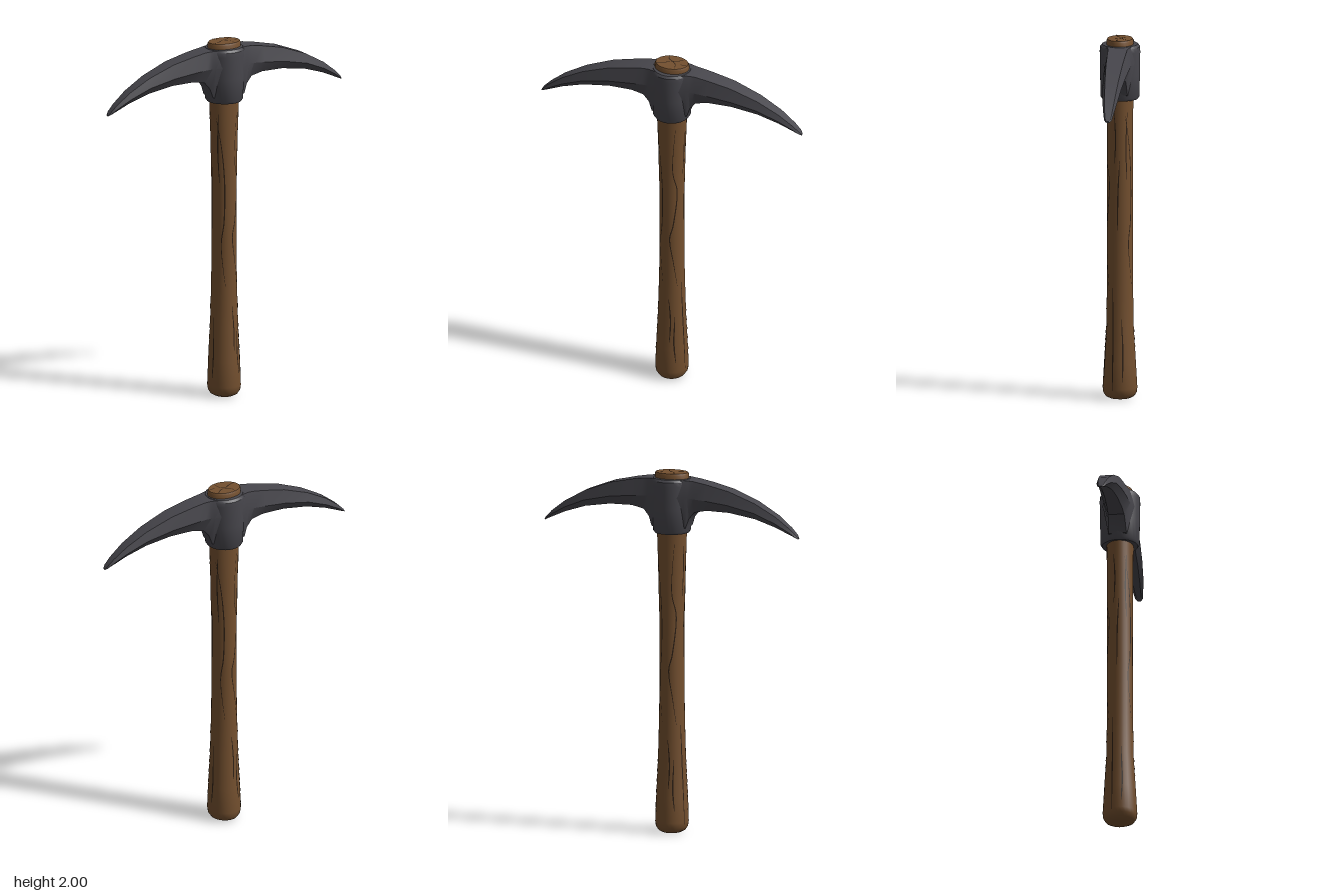
import * as THREE from 'three';
import { toCreasedNormals } from 'three/addons/utils/BufferGeometryUtils.js';

const material = (name, color, side = THREE.FrontSide) => {
  const m = new THREE.MeshStandardMaterial({ color, side });
  m.name = name;
  return m;
};

// Skin a list of closed rings (counterclockwise about the path) and cap both ends.
function loft(rings, crease) {
  const n = rings[0].length, last = rings.length - 1;
  const points = rings.flat(), index = [];
  for (let i = 0; i < last; i++) {
    for (let j = 0; j < n; j++) {
      const a = i * n + j, b = i * n + (j + 1) % n;
      index.push(a, b, a + n, b, b + n, a + n);
    }
  }
  for (const [row, flip] of [[0, true], [last, false]]) {
    const centre = new THREE.Vector3();
    rings[row].forEach((p) => centre.addScaledVector(p, 1 / n));
    const c = points.push(centre) - 1;
    for (let j = 0; j < n; j++) {
      const a = row * n + j, b = row * n + (j + 1) % n;
      index.push(c, flip ? b : a, flip ? a : b);
    }
  }
  const g = new THREE.BufferGeometry().setFromPoints(points);
  g.setIndex(index);
  return toCreasedNormals(g, crease);
}

// Horizontal oval ring
const oval = ([y, rx, rz], sides = 28) => Array.from({ length: sides }, (_, i) => {
  const a = (i / sides) * Math.PI * 2;
  return new THREE.Vector3(Math.cos(a) * rx, y, -Math.sin(a) * rz);
});

// Handle profile: height, half width in x, half width in z
const HANDLE = [
  [0, 0.05, 0.055], [0.012, 0.073, 0.079], [0.033, 0.087, 0.092], [0.06, 0.091, 0.095],
  [0.2, 0.086, 0.087], [0.4, 0.077, 0.075], [0.65, 0.07, 0.071], [0.95, 0.067, 0.07],
  [1.2, 0.069, 0.07], [1.45, 0.075, 0.071], [1.66, 0.083, 0.073], [1.95, 0.096, 0.074],
  [1.988, 0.096, 0.074], [1.998, 0.091, 0.069],
];

// Collar profile, same layout
const COLLAR = [
  [1.665, 0.094, 0.098], [1.678, 0.103, 0.106], [1.8, 0.108, 0.109],
  [1.93, 0.112, 0.111], [1.955, 0.112, 0.109], [1.968, 0.104, 0.098],
];

// Blade sections: x, top y, shoulder y, bottom y, half widths of top, shoulder, bottom
const BLADE = [
  [0.04, 1.967, 1.87, 1.68, 0.08, 0.095, 0.05],
  [0.1, 1.966, 1.87, 1.7, 0.062, 0.081, 0.05],
  [0.118, 1.965, 1.87, 1.752, 0.056, 0.074, 0.046],
  [0.15, 1.962, 1.868, 1.79, 0.052, 0.07, 0.044],
  [0.22, 1.95, 1.862, 1.804, 0.05, 0.068, 0.04],
  [0.35, 1.921, 1.846, 1.801, 0.045, 0.061, 0.034],
  [0.5, 1.864, 1.812, 1.776, 0.037, 0.051, 0.027],
  [0.62, 1.797, 1.762, 1.736, 0.029, 0.04, 0.02],
  [0.7, 1.735, 1.715, 1.7, 0.021, 0.028, 0.015],
  [0.735, 1.7, 1.69, 1.684, 0.016, 0.021, 0.011],
  [0.746, 1.685, 1.681, 1.678, 0.008, 0.011, 0.006],
];

const bladeRing = ([x, top, mid, low, wt, wm, wl]) =>
  [[top, -wt], [top, wt], [mid, wm], [low, wl], [low, -wl], [mid, -wm]]
    .map(([y, z]) => new THREE.Vector3(x, y, z));

// Point just above the handle surface; angle 0 is the front, positive towards +x
function onHandle(angle, y) {
  const i = Math.max(1, HANDLE.findIndex((r) => r[0] >= y));
  const [a, b] = [HANDLE[i - 1], HANDLE[i]];
  const t = (y - a[0]) / (b[0] - a[0]);
  const rx = THREE.MathUtils.lerp(a[1], b[1], t) + 0.0015;
  const rz = THREE.MathUtils.lerp(a[2], b[2], t) + 0.0015;
  return new THREE.Vector3(Math.sin(angle) * rx, y, Math.cos(angle) * rz);
}

// Thin tapering strip along a 2D curve, placed on a surface by map(u, v)
function strip(path, halfWidth, map) {
  const curve = new THREE.SplineCurve(path.map(([u, v]) => new THREE.Vector2(u, v)));
  const steps = path.length * 6, points = [], index = [];
  for (let i = 0; i <= steps; i++) {
    const t = i / steps, p = curve.getPoint(t), d = curve.getTangent(t);
    const w = halfWidth * (0.15 + 0.85 * Math.sin(Math.PI * t));
    points.push(map(p.x + d.y * w, p.y - d.x * w), map(p.x - d.y * w, p.y + d.x * w));
    if (i < steps) {
      const k = i * 2;
      index.push(k, k + 2, k + 1, k + 1, k + 2, k + 3);
    }
  }
  const g = new THREE.BufferGeometry().setFromPoints(points);
  g.setIndex(index);
  g.computeVertexNormals();
  return g;
}

// Grain lines as [degrees, height]
const BROAD_GRAIN = [
  [[-62, 1.58], [-40, 1.4], [-29, 1.2], [-32, 1.0], [-45, 0.85], [-25, 0.62]],
  [[30, 1.62], [20, 1.35], [42, 1.2], [25, 1.0], [8, 0.9], [25, 0.75], [42, 0.6]],
  [[4, 0.52], [12, 0.38], [8, 0.25]],
  [[30, 0.42], [25, 0.25], [32, 0.12]],
];
const SIDE_GRAIN = [
  [[4, 1.33], [-4, 1.15], [-6, 0.92]],
  [[38, 1.6], [32, 1.4], [38, 1.2]],
  [[-28, 0.62], [-24, 0.4], [-20, 0.05]],
  [[12, 0.45], [16, 0.25], [12, 0.1]],
  [[-20, 1.6], [-14, 1.45], [-20, 1.3]],
];
const END_GRAIN = [
  [[-0.034, -0.064], [-0.026, -0.03], [0, -0.01], [0.024, 0.018], [0.032, 0.06]],
  [[-0.086, 0.028], [-0.05, 0.02], [-0.02, 0.002], [0, -0.01]],
  [[0, -0.01], [0.03, -0.02], [0.06, -0.046]],
  [[0.088, 0.006], [0.07, 0.012], [0.05, 0.01]],
];

export function createModel() {
  const wood = material('brown wood', 0x74502f);
  const metal = material('dark iron', 0x47464c);
  const crack = material('dark grain', 0x2e2015, THREE.DoubleSide);

  const model = new THREE.Group();
  model.name = 'pickaxe';
  const add = (name, geometry, mat, parent = model) => {
    const mesh = new THREE.Mesh(geometry, mat);
    mesh.name = name;
    parent.add(mesh);
    return mesh;
  };

  add('handle', loft(HANDLE.map((r) => oval(r)), 0.7), wood);

  // Iron head: collar and two mirrored blades
  const head = new THREE.Group();
  head.name = 'head';
  model.add(head);
  add('collar', loft(COLLAR.map((r) => oval(r)), 0.6), metal, head);
  const blade = loft(BLADE.map(bladeRing), 0.5);
  add('leftBlade', blade, metal, head);
  add('rightBlade', blade, metal, head).rotation.y = Math.PI;

  // Wood grain around the shaft
  const grain = new THREE.Group();
  grain.name = 'grain';
  model.add(grain);
  const R = 0.072;
  [BROAD_GRAIN, SIDE_GRAIN, BROAD_GRAIN, SIDE_GRAIN].forEach((set, side) => {
    for (const path of set) {
      const arc = path.map(([deg, y]) => [THREE.MathUtils.degToRad(deg + side * 90) * R, y]);
      add('grainLine', strip(arc, 0.0035, (u, y) => onHandle(u / R, y)), crack, grain);
    }
  });

  // Splits in the top end of the handle
  for (const path of END_GRAIN) {
    add('endSplit', strip(path, 0.003, (x, z) => new THREE.Vector3(x, 2, z)), crack, grain);
  }
  return model;
}
